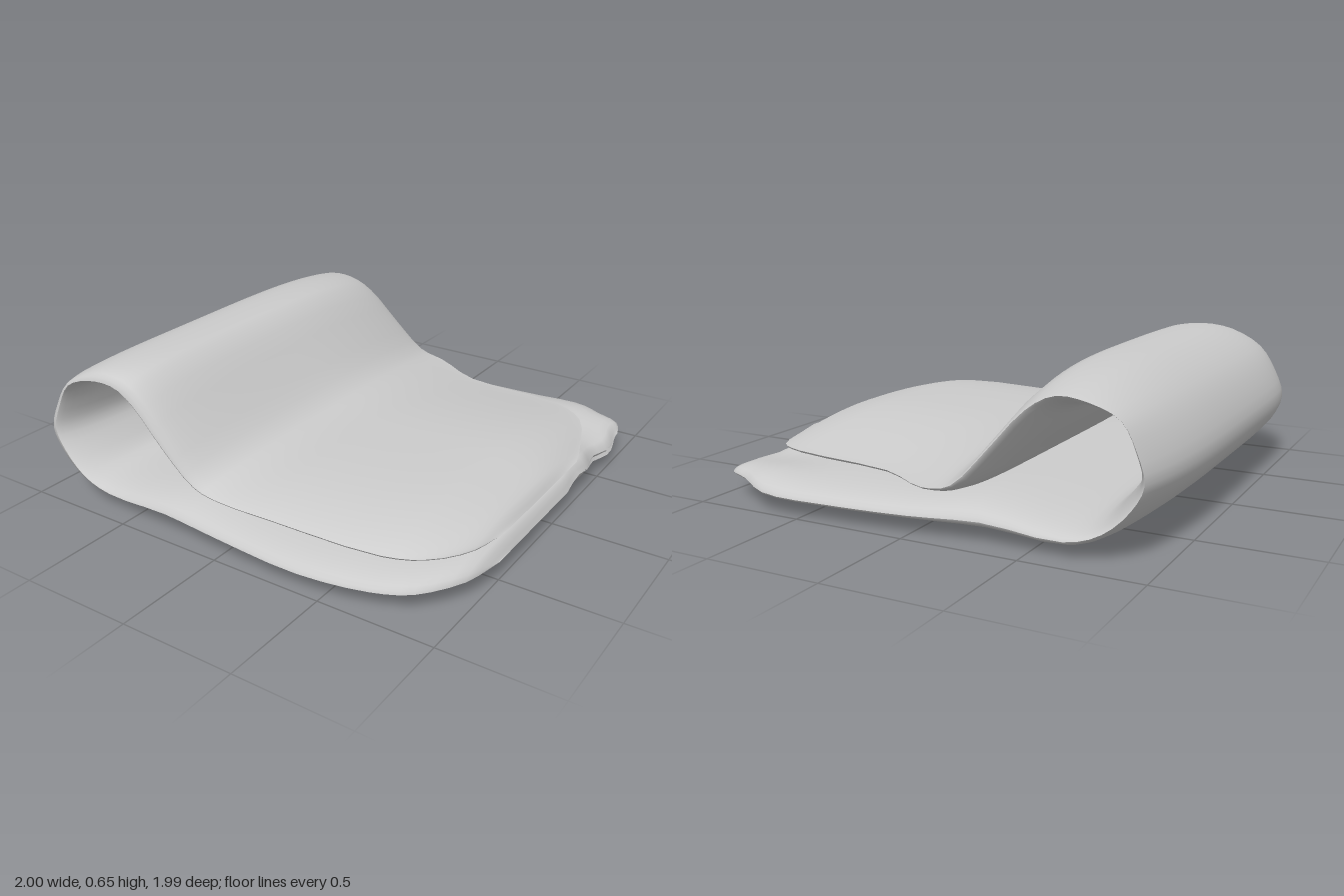
import * as THREE from 'three';

// Stations along the folded sheet, from the lower free end, round the loop, to the upper free end:
// outer x, outer y, inner x, inner y, front z, back z
const STATIONS = [
  [1, 0.08, 1, 0.08, 0.5, -0.8],
  [0.96, 0.03, 0.96, 0.14, 0.7, -0.86],
  [0.84, 0.015, 0.84, 0.15, 0.87, -0.91],
  [0.68, 0.005, 0.7, 0.15, 0.94, -0.99],
  [0.4, 0.005, 0.4, 0.15, 0.99, -0.99],
  [0, 0.005, 0, 0.155, 0.97, -0.96],
  [-0.35, 0.005, -0.25, 0.17, 0.95, -0.92],
  [-0.7, 0.01, -0.58, 0.13, 0.93, -0.92],
  [-0.84, 0.09, -0.72, 0.14, 0.93, -0.9],
  [-0.96, 0.2, -0.79, 0.22, 0.93, -0.88],
  [-1, 0.3, -0.84, 0.31, 0.93, -0.87],
  [-0.96, 0.42, -0.82, 0.42, 0.92, -0.87],
  [-0.87, 0.54, -0.79, 0.5, 0.92, -0.86],
  [-0.72, 0.63, -0.7, 0.5, 0.92, -0.86],
  [-0.58, 0.65, -0.57, 0.49, 0.92, -0.84],
  [-0.45, 0.63, -0.47, 0.395, 0.92, -0.86],
  [-0.28, 0.45, -0.35, 0.29, 0.91, -0.9],
  [-0.13, 0.3, -0.22, 0.18, 0.89, -0.94],
  [0, 0.27, -0.08, 0.16, 0.89, -0.93],
  [0.2, 0.275, 0.2, 0.155, 0.885, -0.79],
  [0.68, 0.287, 0.7, 0.16, 0.87, -0.73],
  [0.84, 0.26, 0.84, 0.16, 0.79, -0.64],
  [0.95, 0.225, 0.95, 0.16, 0.62, -0.38],
  [0.99, 0.18, 0.99, 0.18, 0.45, -0.25],
];
const SPANS = STATIONS.length - 1;
const ROWS = 28;
const STEPS = SPANS * 3;
const { lerp, smoothstep } = THREE.MathUtils;

const curve = (cx, cy, cz) => new THREE.CatmullRomCurve3(
  STATIONS.map((s) => new THREE.Vector3(s[cx], s[cy], s[cz])));
const outerCurve = curve(0, 1, 4);
const innerCurve = curve(2, 3, 5);

// How full the padding is across the sheet: u runs from -1 at the front to 1 at the back
function fullness(u, isOuter, loop, upper) {
  const fade = (p, q) => Math.pow(Math.max(0, 1 - Math.pow(Math.abs(u), p)), q);
  if (!isOuter) return lerp(fade(6, 0.5), fade(4, 0.75), loop);
  const front = lerp(fade(3.5, 0.75), fade(6, 0.35), loop);
  const back = lerp(lerp(fade(6, 0.5), fade(3, 0.9), loop), fade(2, 1.2), upper);
  return u < 0 ? front : back;
}

// One face of the sheet: thickness fades to an edge at the front and back
function sheetFace(isOuter) {
  const positions = [];
  const indices = [];
  for (let i = 0; i <= STEPS; i++) {
    const station = i / 3;
    const a = outerCurve.getPoint(i / STEPS);
    const b = innerCurve.getPoint(i / STEPS);
    const side = isOuter ? a : b;
    const lower = 1 - smoothstep(station, 5, 8);
    const upper = smoothstep(station, 14, 18);
    const loop = smoothstep(station, 6, 9) * (1 - upper);
    // The rim lies near the outside of the loop and near the underside of the upper layer
    const rim = 0.5 + 0.08 * loop - 0.2 * upper;
    for (let j = 0; j <= ROWS; j++) {
      const u = Math.sin((j / ROWS - 0.5) * Math.PI);
      const full = fullness(u, isOuter, loop, upper);
      const z = lerp(a.z, b.z, (u + 1) / 2);
      let x = lerp(lerp(b.x, a.x, rim), side.x, full);
      let y = lerp(lerp(b.y, a.y, rim), side.y, full);
      // Underside rises away from its lowest line and is chamfered at the front corner
      if (isOuter) {
        y += lower * full * (0.03 * smoothstep(-z, 0.3, 0.5) + 0.02 * Math.max(0, z + 0.3));
        const chamfer = 0.51 * x + 0.86 * z - 0.775;
        if (station < 7) y = Math.max(y, Math.min(0.08, 0.02 + 0.2 * chamfer));
      }
      // Rumpled back corner of the lower layer
      const rumple = lower * smoothstep(x, 0.45, 0.85) * smoothstep(-z, 0.15, 0.32);
      y += 0.02 * rumple * Math.cos((z + 0.3) * 10.5);
      x -= 0.025 * rumple * (1 + Math.sin(z * 22)) / 2;
      positions.push(x, Math.max(0, y), z);
    }
  }
  const n = ROWS + 1;
  for (let i = 0; i < STEPS; i++) {
    for (let j = 0; j < ROWS; j++) {
      const p = i * n + j;
      const q = p + n;
      if (isOuter) indices.push(p, q, q + 1, p, q + 1, p + 1);
      else indices.push(p, q + 1, q, p, p + 1, q + 1);
    }
  }
  const geometry = new THREE.BufferGeometry();
  geometry.setAttribute('position', new THREE.Float32BufferAttribute(positions, 3));
  geometry.setIndex(indices);
  geometry.computeVertexNormals();
  return geometry;
}

export function createModel() {
  const cloth = new THREE.MeshStandardMaterial({ color: 0xcccccc, side: THREE.DoubleSide });
  cloth.name = 'cloth grey';
  const group = new THREE.Group();
  group.name = 'foldedCloth';
  for (const [name, isOuter] of [['outerFace', true], ['innerFace', false]]) {
    const mesh = new THREE.Mesh(sheetFace(isOuter), cloth);
    mesh.name = name;
    group.add(mesh);
  }
  return group;
}
